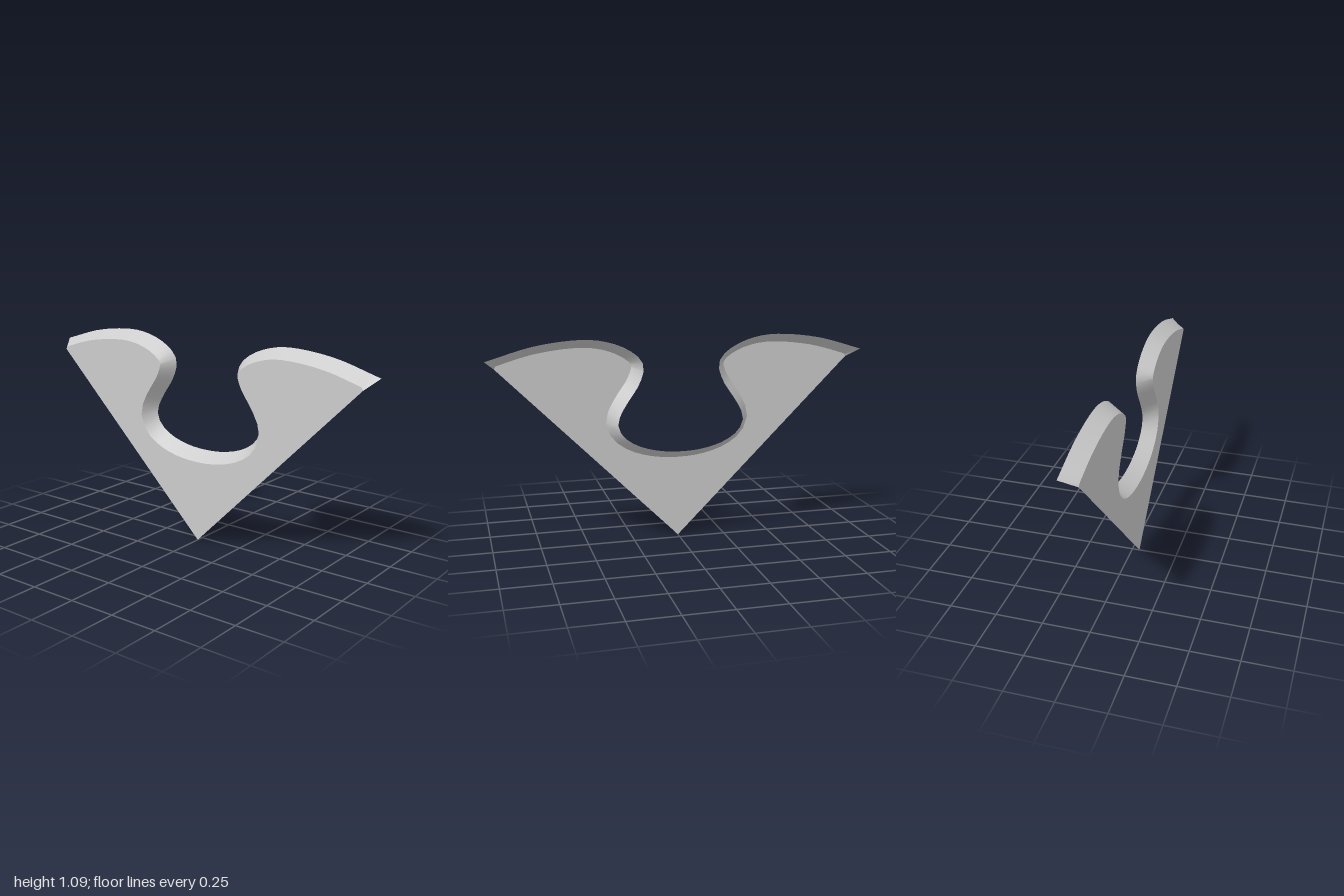
import * as THREE from 'three';

const HALF_DEPTH = 0.04, BEVEL = 0.05, STEPS = 36;

// Right half of the rear rim, from the middle of the notch to the outer tip
const RIM = [
  [0, 0.489], [0.128, 0.5], [0.24, 0.535], [0.31, 0.585], [0.337, 0.64], [0.328, 0.69],
  [0.285, 0.765], [0.228, 0.85], [0.2, 0.935], [0.217, 0.985], [0.278, 1.035],
  [0.374, 1.075], [0.5, 1.094], [0.75, 1.07], [1, 1],
];

export function createModel() {
  const group = new THREE.Group();
  const material = new THREE.MeshStandardMaterial({ color: 0xcccccc, side: THREE.DoubleSide });

  // Mirror the half rim into one smooth curve, left tip to right tip
  const mirrored = RIM.slice(1).reverse().map(([x, y]) => [-x, y]);
  const curve = new THREE.CatmullRomCurve3(
    [...mirrored, ...RIM].map(([x, y]) => new THREE.Vector3(x, y, -HALF_DEPTH)), false, 'centripetal');

  // The front rim is the rear rim set inward by the bevel width
  const count = STEPS * 2;
  const back = curve.getSpacedPoints(count);
  const front = back.map((p, i) => {
    const t = curve.getTangentAt(i / count);
    return new THREE.Vector3(p.x + t.y * BEVEL, p.y - t.x * BEVEL, HALF_DEPTH);
  });
  front[0].set(-0.95, 0.95, HALF_DEPTH);
  front[count].set(0.95, 0.95, HALF_DEPTH);

  // Flat wedge-shaped face with the rounded notch
  const shape = new THREE.Shape([new THREE.Vector2(0, 0),
    ...front.map((p) => new THREE.Vector2(p.x, p.y)).reverse()]);
  const face = new THREE.Mesh(new THREE.ShapeGeometry(shape), material);
  face.position.z = HALF_DEPTH;
  face.name = 'wedgeFace';
  group.add(face);

  // Sloped rim strip joining the front and rear outlines
  const positions = [], indices = [];
  for (let i = 0; i <= count; i++) {
    positions.push(...front[i].toArray(), ...back[i].toArray());
    if (i < count) {
      const a = i * 2;
      indices.push(a, a + 2, a + 1, a + 1, a + 2, a + 3);
    }
  }
  const strip = new THREE.BufferGeometry();
  strip.setAttribute('position', new THREE.Float32BufferAttribute(positions, 3));
  strip.setIndex(indices);
  strip.computeVertexNormals();
  const rim = new THREE.Mesh(strip, material);
  rim.name = 'slopedRim';
  group.add(rim);

  return group;
}
